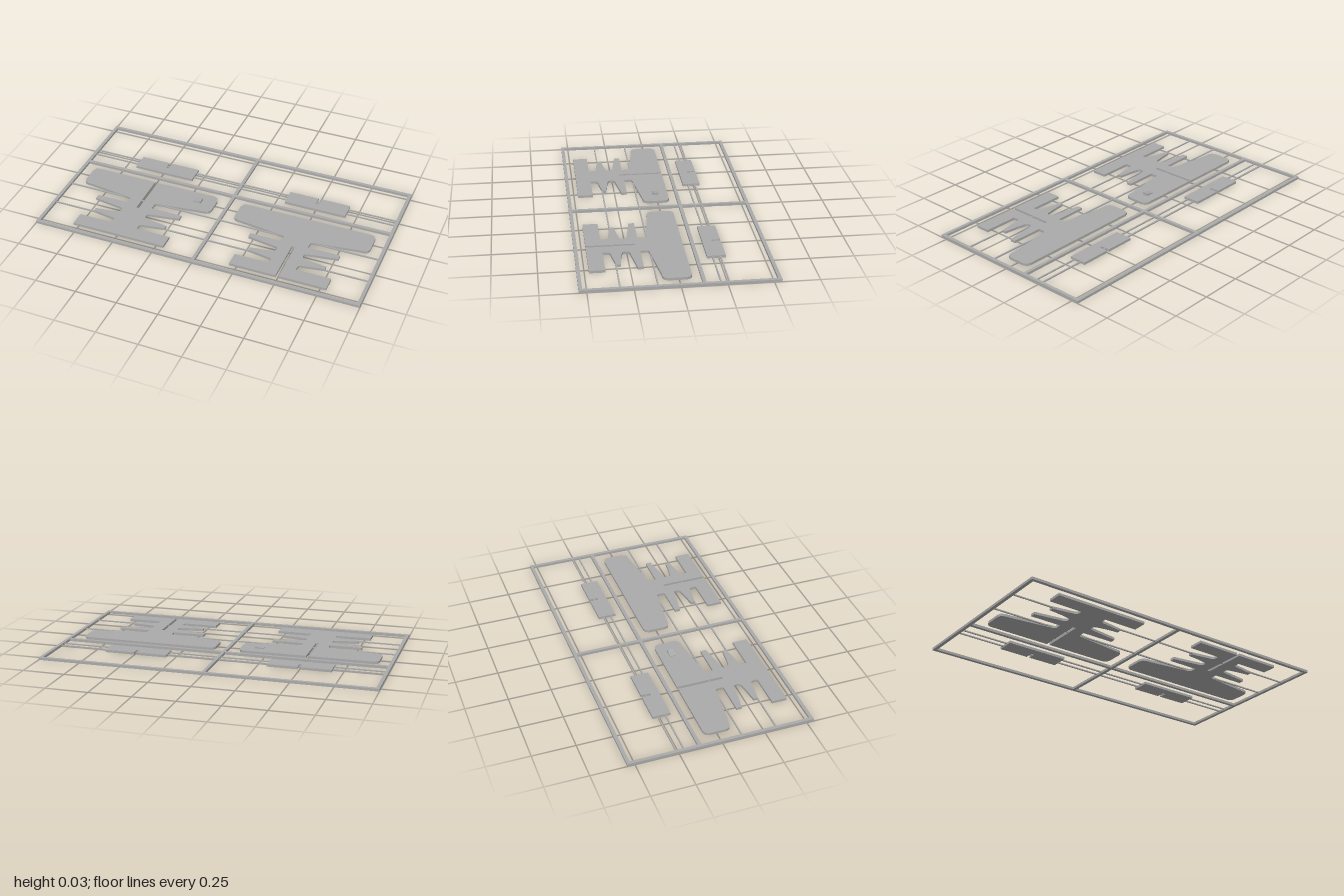
import * as THREE from 'three';

const T = 0.015; // sheet thickness
const SLOT = 0.009; // half width of the assembly slots
const CX = 0.495; // centre of each half of the frame

export function createModel() {
  const group = new THREE.Group();
  const plastic = new THREE.MeshStandardMaterial({ color: 0xaaaaaa });
  plastic.name = 'grey plastic';

  const add = (geometry, name) => {
    const mesh = new THREE.Mesh(geometry, plastic);
    mesh.name = name;
    group.add(mesh);
    return mesh;
  };
  const box = (name, w, h, d, x, y, z) =>
    add(new THREE.BoxGeometry(w, h, d), name).position.set(x, y, z);

  // Flat plate lying on the ground; outline is given as [x, z]
  const plate = (name, outline, x) => {
    const shape = new THREE.Shape(outline.map(([px, pz]) => new THREE.Vector2(px, -pz)));
    const geometry = new THREE.ExtrudeGeometry(shape, { depth: T, bevelEnabled: false });
    geometry.rotateX(-Math.PI / 2);
    add(geometry, name).position.x = x;
  };

  // Outer frame and dividers
  const B = 0.02;
  for (const z of [-0.533, -0.127, 0.533]) box('frameRail', 2, T, B, 0, T / 2, z);
  for (const x of [-0.99, 0, 0.99]) box('frameUpright', B, T, 1.086, x, T / 2, 0);

  // Thin runners holding the parts
  for (const z of [-0.26, -0.216, 0.121, 0.323]) box('runner', 1.97, 0.007, 0.008, 0, T / 2, z);

  // Right-hand half outline of a cut-out, from nose to tail
  const half = [
    [0.39, -0.072], [0.411, -0.063], [0.42, -0.042], [0.42, 0.058], [0.411, 0.079], [0.39, 0.088],
    [0.355, 0.09], [0.092, 0.126], [0.084, 0.131], [0.081, 0.14],
    [0.081, 0.175], [0.275, 0.175], [0.275, 0.208], [0.1, 0.234], [0.085, 0.24], [0.081, 0.25],
    [0.081, 0.26], [0.085, 0.272], [0.095, 0.278], [0.15, 0.288], [0.232, 0.297], [0.232, 0.322],
    [0.15, 0.335], [0.095, 0.343], [0.085, 0.349], [0.081, 0.36],
    [0.081, 0.386], [0.29, 0.386], [0.29, 0.475],
  ];
  const mirrored = half.map(([x, z]) => [-x, z]).reverse();
  const noseSlot = [[-SLOT, -0.072], [-SLOT, 0.2], [SLOT, 0.2], [SLOT, -0.072]];
  const tailSlot = [[SLOT, 0.475], [SLOT, 0.2], [-SLOT, 0.2], [-SLOT, 0.475]];
  plate('noseSlottedCutout', [...noseSlot, ...half, ...mirrored], -CX);
  plate('tailSlottedCutout', [...half, ...tailSlot, ...mirrored], CX);

  // Small notched stands
  const stand = [
    [-0.19, -0.29], [-SLOT, -0.29], [-SLOT, -0.238], [SLOT, -0.238],
    [SLOT, -0.29], [0.19, -0.29], [0.19, -0.185], [-0.19, -0.185],
  ];
  for (const side of [-1, 1]) plate('notchedStand', stand, side * CX);

  // Sloping wedge on one wing
  const profile = new THREE.Shape([
    new THREE.Vector2(-0.212, T - 0.003), new THREE.Vector2(-0.16, T - 0.003),
    new THREE.Vector2(-0.16, 0.029), new THREE.Vector2(-0.212, 0.019),
  ]);
  const wedge = new THREE.ExtrudeGeometry(profile, { depth: 0.036, bevelEnabled: false });
  add(wedge, 'wingWedge').position.z = -0.014;

  return group;
}
